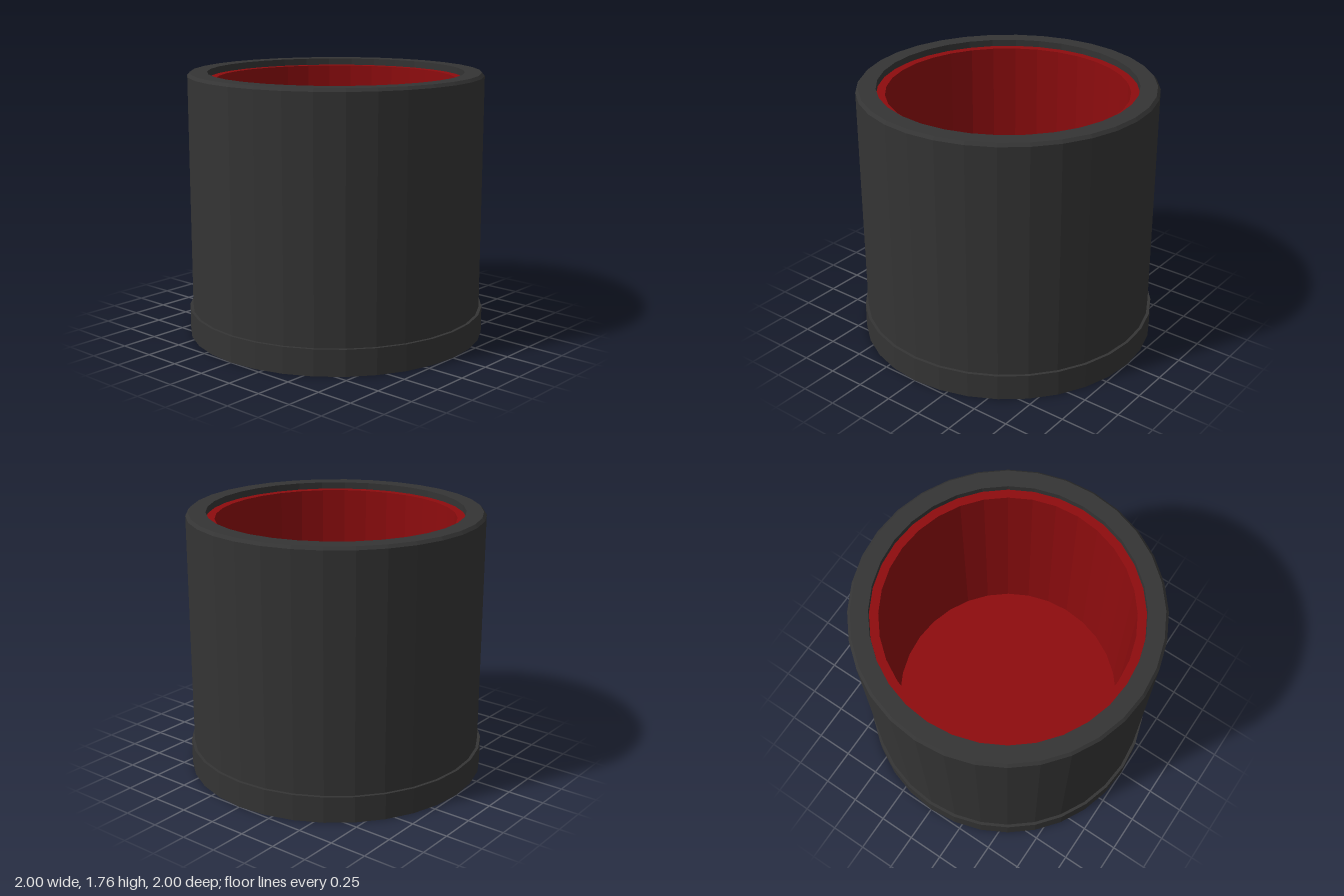
import * as THREE from 'three';

const SIDES = 32;

// Faceted solid of revolution; profile runs from the bottom, up the outside, then inwards
function turned(name, profile, material) {
  const points = profile.map(([r, y]) => new THREE.Vector2(r, y));
  const geometry = new THREE.LatheGeometry(points, SIDES).toNonIndexed();
  geometry.computeVertexNormals();
  const mesh = new THREE.Mesh(geometry, material);
  mesh.name = name;
  return mesh;
}

export function createModel() {
  const leather = new THREE.MeshStandardMaterial({ color: 0x343434 });
  leather.name = 'charcoal leather';
  const felt = new THREE.MeshStandardMaterial({ color: 0x8e0c0e });
  felt.name = 'red felt';

  const cup = new THREE.Group();
  cup.name = 'cup';

  // Outer shell with a chamfered rim, a wider foot band and a shallow recess underneath
  cup.add(turned('outerShell', [
    [0, 0.03], [0.88, 0.03], [0.88, 0], [1, 0], [1, 0.175], [0.98, 0.175],
    [0.98, 1.745], [0.962, 1.765], [0.85, 1.765], [0.85, 1.72],
  ], leather));

  // Felt lining: narrow ledge below the rim, inner wall and floor
  cup.add(turned('lining', [
    [0.85, 1.72], [0.793, 1.72], [0.793, 0.18], [0, 0.18],
  ], felt));

  return cup;
}
